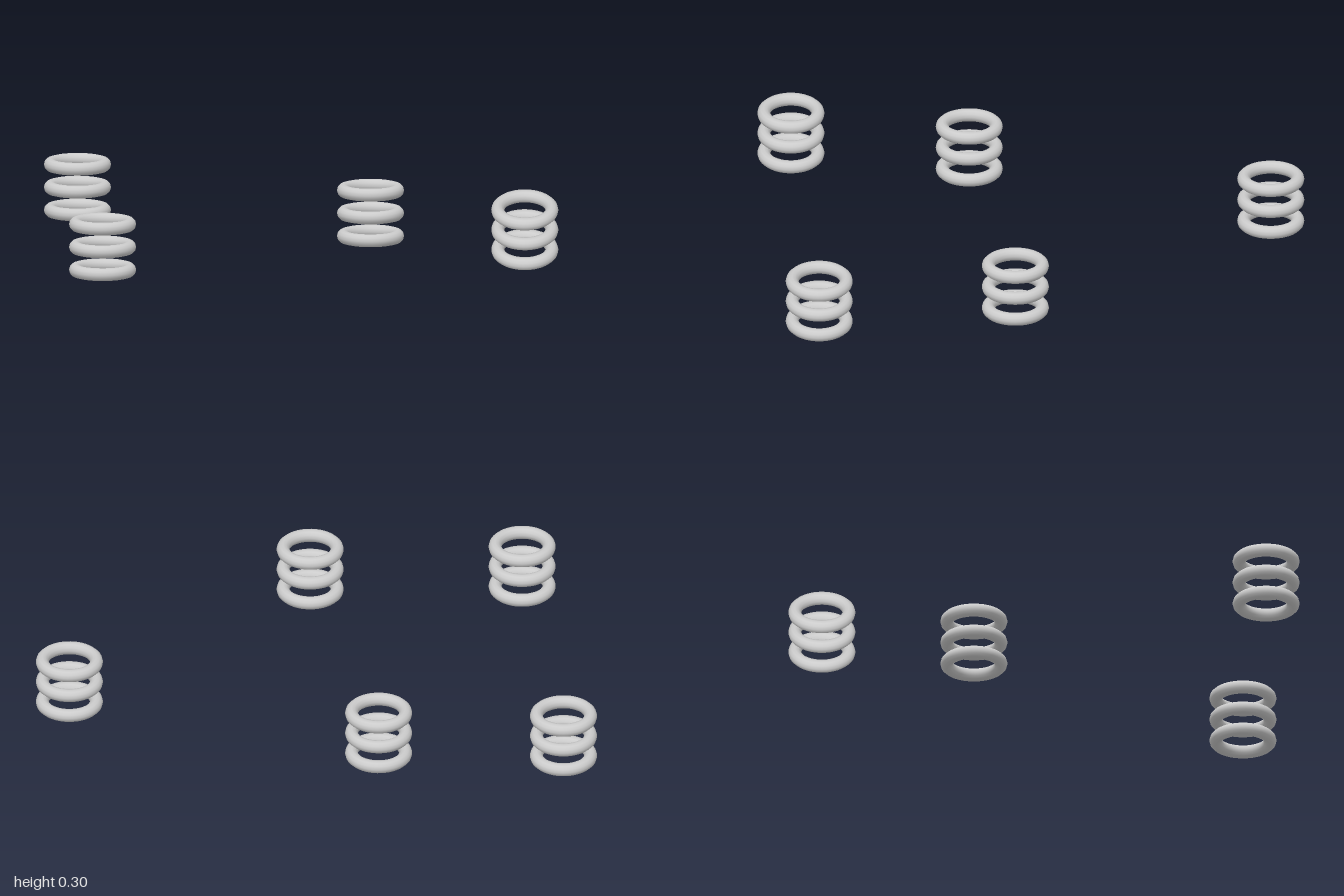
import * as THREE from 'three';

export function createModel() {
  const model = new THREE.Group();
  const material = new THREE.MeshStandardMaterial({ color: 0xcccccc });

  const tube = 0.0333;
  const ringRadius = 0.138;
  const spacing = 0.1185;
  const ringGeometry = new THREE.TorusGeometry(ringRadius, tube, 12, 48).rotateX(Math.PI / 2);

  // Three stacks on the corners of an equilateral triangle, one pointing to +x
  const spread = 0.957;
  for (let i = 0; i < 3; i++) {
    const angle = (i * Math.PI * 2) / 3;
    const stack = new THREE.Group();
    stack.name = `ringStack${i + 1}`;
    stack.position.set(Math.cos(angle) * spread - spread / 4, 0, Math.sin(angle) * spread);

    // Three evenly spaced rings, the lowest resting on the ground
    for (let j = 0; j < 3; j++) {
      const ring = new THREE.Mesh(ringGeometry, material);
      ring.name = `ring${j + 1}`;
      ring.position.y = tube + j * spacing;
      stack.add(ring);
    }
    model.add(stack);
  }
  return model;
}
